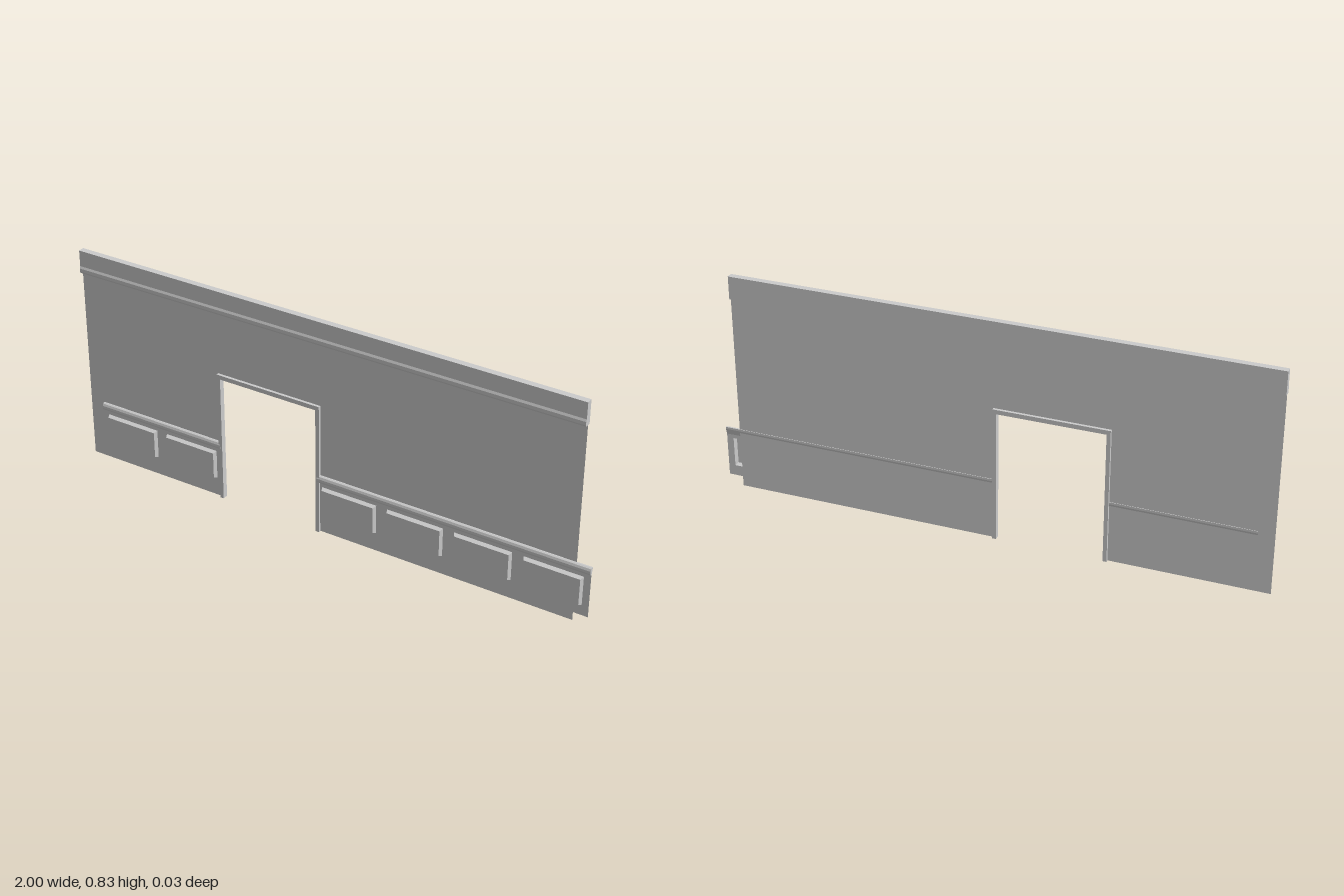
import * as THREE from 'three';

const material = new THREE.MeshStandardMaterial({ color: 0xcccccc, side: THREE.DoubleSide, flatShading: true });

function addMesh(parent, geometry, name) {
  const mesh = new THREE.Mesh(geometry, material);
  mesh.name = name;
  parent.add(mesh);
  return mesh;
}

function polygon(points) {
  return new THREE.Shape(points.map(([x, y]) => new THREE.Vector2(x, y)));
}

function rectangle(x0, y0, x1, y1) {
  return polygon([[x0, y0], [x1, y0], [x1, y1], [x0, y1]]);
}

// Sweeps a [z, y] profile along x
function molding(profile, x0, x1) {
  const shape = polygon(profile.map(([z, y]) => [-z, y]));
  const geometry = new THREE.ExtrudeGeometry(shape, { depth: x1 - x0, bevelEnabled: false });
  return geometry.rotateY(Math.PI / 2).translate(x0, 0, 0);
}

// Raised field with bevelled edges and an open back
function raisedPanel(x0, y0, x1, y1, zBack, zFront, inset) {
  const ring = (d, z) => [
    x0 + d, y0 + d, z, x1 - d, y0 + d, z, x1 - d, y1 - d, z, x0 + d, y1 - d, z,
  ];
  const index = [4, 5, 6, 4, 6, 7];
  for (let i = 0; i < 4; i++) {
    const j = (i + 1) % 4;
    index.push(i, j, j + 4, i, j + 4, i + 4);
  }
  const geometry = new THREE.BufferGeometry();
  geometry.setAttribute('position', new THREE.Float32BufferAttribute([...ring(0, zBack), ...ring(inset, zFront)], 3));
  geometry.setIndex(index);
  const flat = geometry.toNonIndexed();
  flat.computeVertexNormals();
  return flat;
}

// One stretch of panelling with its chair rail
function wainscot(name, x0, x1, panelStarts) {
  const group = new THREE.Group();
  group.name = name;
  const z = 0.001, y0 = 0.075, y1 = 0.186, width = 0.215;
  const board = rectangle(x0, 0.035, x1, 0.228);
  for (const x of panelStarts) {
    board.holes.push(rectangle(x, y0, x + width, y1));
    addMesh(group, raisedPanel(x, y0, x + width, y1, z, 0.0145, 0.006), 'raisedPanel');
  }
  addMesh(group, new THREE.ShapeGeometry(board).translate(0, 0, z), 'wainscotBoard');
  const rail = [[-0.005, 0.222], [0.001, 0.2], [0.006, 0.203], [0.009, 0.21], [0.009, 0.219], [0.006, 0.227], [0.001, 0.23], [-0.005, 0.23]];
  addMesh(group, molding(rail, x0, x1), 'chairRail');
  return group;
}

export function createModel() {
  const model = new THREE.Group();
  model.name = 'wallWithDoorway';

  // Thin wall sheet, cut out around the doorway
  const wall = polygon([
    [-1, 0], [-0.428, 0], [-0.428, 0.497], [-0.027, 0.497],
    [-0.027, 0], [0.945, 0], [0.945, 0.825], [-1, 0.825],
  ]);
  addMesh(model, new THREE.ShapeGeometry(wall).translate(0, 0, -0.003), 'wall');

  // Door casing
  const casing = polygon([
    [-0.434, 0], [-0.42, 0], [-0.42, 0.488], [-0.034, 0.488],
    [-0.034, 0], [-0.02, 0], [-0.02, 0.504], [-0.434, 0.504],
  ]);
  const casingGeometry = new THREE.ExtrudeGeometry(casing, { depth: 0.021, bevelEnabled: false });
  addMesh(model, casingGeometry.translate(0, 0, -0.0135), 'doorFrame');

  // Crown band with a bead along its lower front edge
  const crown = [
    [-0.0135, 0.742], [0.01, 0.742], [0.013, 0.748], [0.013, 0.76],
    [0.0095, 0.768], [0.0095, 0.828], [-0.0135, 0.828],
  ];
  addMesh(model, molding(crown, -1, 0.945), 'crownMolding');

  // Panelling on both sides of the doorway
  model.add(wainscot('wainscotRight', -0.942, -0.428, [-0.921, -0.664]));
  model.add(wainscot('wainscotLeft', -0.03, 1, [-0.011, 0.246, 0.503, 0.76]));

  return model;
}
